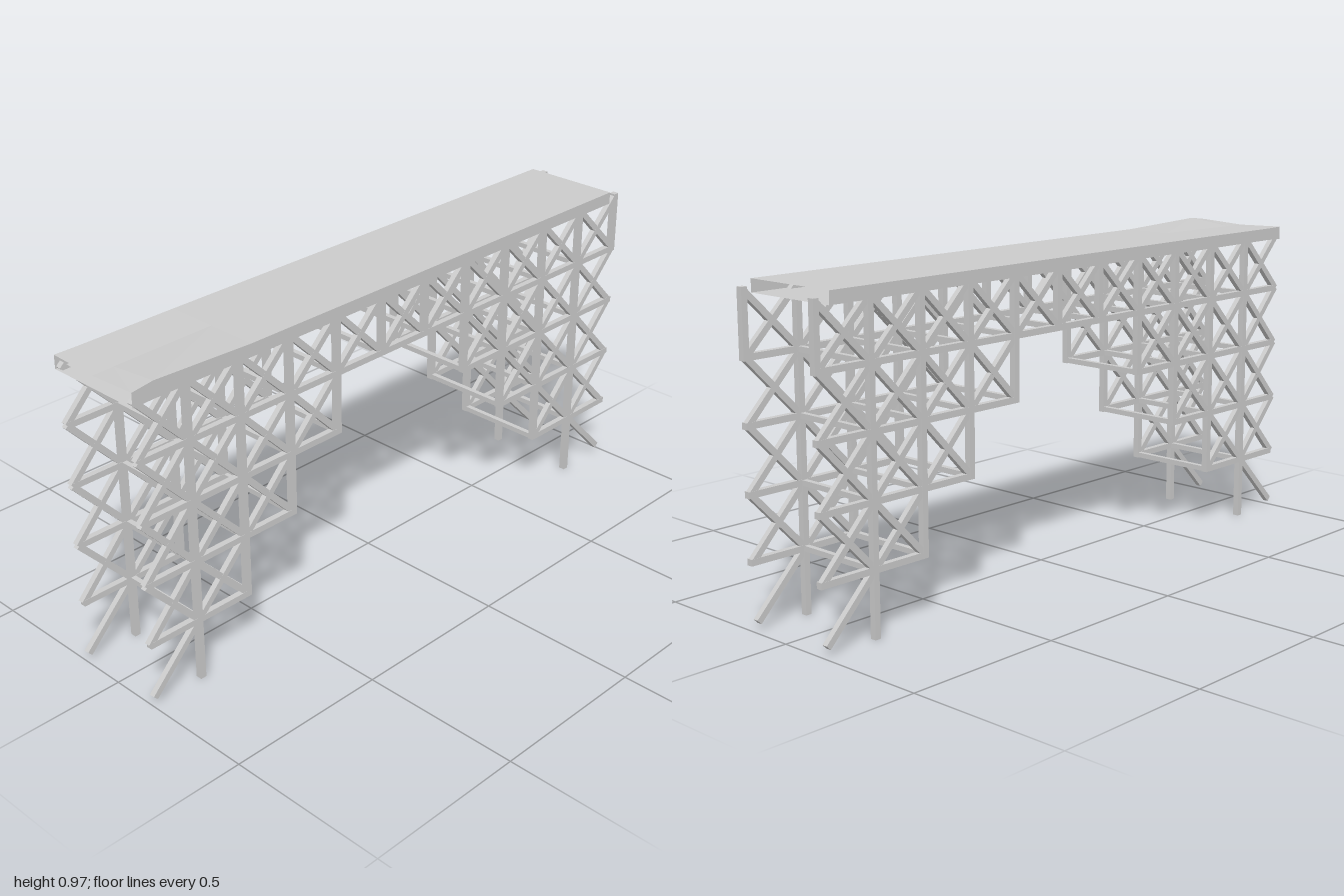
import * as THREE from 'three';

const material = new THREE.MeshStandardMaterial({ color: 0xcccccc, flatShading: true, side: THREE.DoubleSide });

// Node positions along the bridge and the levels of the horizontal beams
const COLUMNS = 11;
const nodeZ = (i) => (i === 0 ? 0.993 : 0.82 - 0.181 * (i - 1));
const LEVELS = [0.195, 0.383, 0.572, 0.757, 0.945];
const TRUSS_X = 0.145;

// Number of filled cells inward from each end, per row
const ROW_CELLS = [2, 3, 4, COLUMNS];
const filled = (row, col) =>
  col >= 0 && col < COLUMNS && (col < ROW_CELLS[row] || col >= COLUMNS - ROW_CELLS[row]);

// Square bar between two points
function bar(name, a, b, width, depth) {
  const from = new THREE.Vector3(...a);
  const to = new THREE.Vector3(...b);
  const mesh = new THREE.Mesh(new THREE.BoxGeometry(width, depth, from.distanceTo(to)), material);
  mesh.name = name;
  mesh.position.copy(from).add(to).multiplyScalar(0.5);
  mesh.lookAt(to);
  return mesh;
}

// One side truss in the plane of the given x
function sideTruss(x) {
  const truss = new THREE.Group();
  truss.name = x > 0 ? 'leftTruss' : 'rightTruss';
  const add = (name, y0, z0, y1, z1, w) => truss.add(bar(name, [x, y0, z0], [x, y1, z1], w, 0.019));

  for (let row = 0; row < 4; row++) {
    const low = LEVELS[row], high = LEVELS[row + 1];
    const braceTop = row === 3 ? 0.935 : high;
    for (let col = 0; col < COLUMNS; col++) {
      if (!filled(row, col)) continue;
      const z0 = nodeZ(col), z1 = nodeZ(col + 1);
      // crossed braces and the beam under the cell
      add('diagonalBrace', low, z0, braceTop, z1, 0.0175);
      add('diagonalBrace', braceTop, z0, low, z1, 0.017);
      add('beam', low, z0 + (col ? 0.009 : 0), low, z1 - 0.009, 0.0185);
    }
    // posts, with the back end closed only in the top row
    for (let i = 1; i <= COLUMNS; i++) {
      if (i === COLUMNS && row < 3) continue;
      if (filled(row, i - 1) || filled(row, i)) add('post', low - 0.009, nodeZ(i), high, nodeZ(i), 0.0195);
    }
  }
  // feet: a post and a single outward strut at each end
  for (const [i, end] of [[1, 0.99], [COLUMNS - 1, -0.98]]) {
    add('footPost', 0, nodeZ(i), LEVELS[0], nodeZ(i), 0.0195);
    add('footStrut', 0.022, end, LEVELS[0], nodeZ(i), 0.0175);
  }
  return truss;
}

// Cross beams joining the two trusses at every inner node
function crossBeams() {
  const group = new THREE.Group();
  group.name = 'crossBeams';
  for (let row = 0; row < 4; row++) {
    for (let i = 1; i < COLUMNS; i++) {
      if (!filled(row, i - 1) && !filled(row, i)) continue;
      const y = LEVELS[row];
      group.add(bar('crossBeam', [-TRUSS_X, y, nodeZ(i)], [TRUSS_X, y, nodeZ(i)], 0.016, 0.016));
    }
  }
  return group;
}

// Hollow roadway, open at both ends, slightly warped near the front
function deck() {
  const half = 0.158;
  // z, underside height, then top height at right, middle and left
  const sections = [
    [-0.95, 0.923, 0.961, 0.961, 0.961],
    [0.6, 0.922, 0.961, 0.961, 0.961],
    [0.93, 0.922, 0.96, 0.957, 0.973],
    [1.0, 0.92, 0.961, 0.956, 0.964],
  ].map(([z, base, r, m, l]) => [
    [-half, base, z], [-half, r, z], [0, m, z], [half, l, z], [half, base, z],
  ]);
  const points = [];
  for (let s = 0; s < sections.length - 1; s++) {
    const a = sections[s], b = sections[s + 1];
    for (let k = 0; k < 5; k++) {
      const n = (k + 1) % 5;
      points.push(...a[k], ...b[k], ...b[n], ...a[k], ...b[n], ...a[n]);
    }
  }
  const geometry = new THREE.BufferGeometry();
  geometry.setAttribute('position', new THREE.Float32BufferAttribute(points, 3));
  geometry.computeVertexNormals();
  const mesh = new THREE.Mesh(geometry, material);
  mesh.name = 'deck';
  return mesh;
}

export function createModel() {
  const model = new THREE.Group();
  model.name = 'trestleBridge';
  model.add(sideTruss(TRUSS_X), sideTruss(-TRUSS_X), crossBeams(), deck());
  return model;
}
